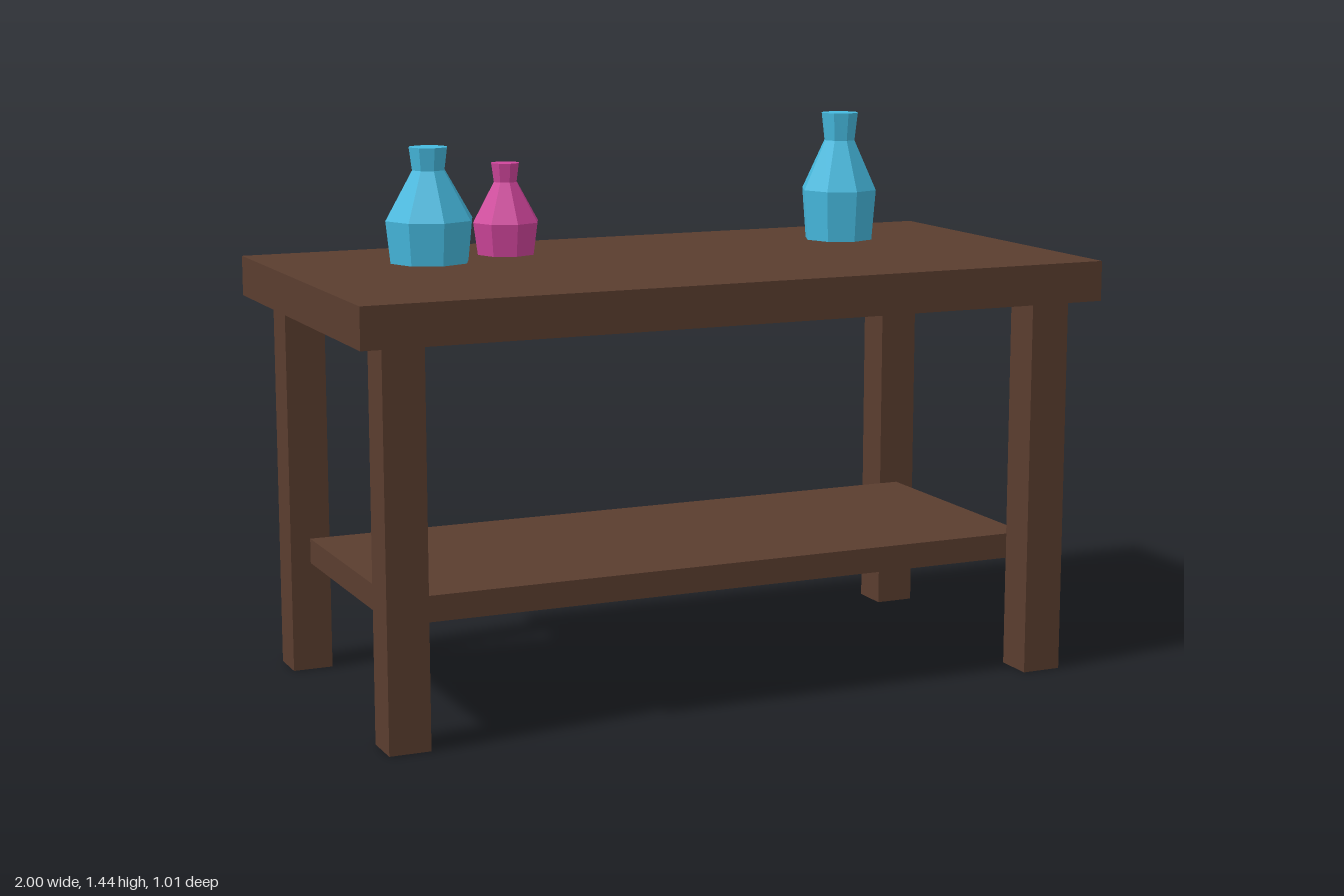
import * as THREE from 'three';

export function createModel() {
  const root = new THREE.Group();
  root.name = 'tableWithVases';

  const wood = new THREE.MeshStandardMaterial({ name: 'dark wood', color: 0x5a3d2f });
  const blue = new THREE.MeshStandardMaterial({ name: 'blue glaze', color: 0x46badf });
  const pink = new THREE.MeshStandardMaterial({ name: 'pink glaze', color: 0xd0469c });
  for (const m of [wood, blue, pink]) m.flatShading = true;

  const addBox = (name, w, h, d, x, y, z) => {
    const mesh = new THREE.Mesh(new THREE.BoxGeometry(w, h, d), wood);
    mesh.name = name;
    mesh.position.set(x, y, z);
    root.add(mesh);
  };

  // Table top and lower shelf
  const topY = 1.094;
  addBox('tableTop', 2, 0.104, 1.012, 0, topY - 0.052, 0);
  addBox('shelf', 1.76, 0.066, 0.7, 0, 0.322, 0);

  // Four square legs
  for (const sx of [-1, 1])
    for (const sz of [-1, 1])
      addBox(`${sz > 0 ? 'front' : 'back'}${sx > 0 ? 'Left' : 'Right'}Leg`,
        0.106, 0.99, 0.106, sx * 0.88, 0.495, sz * 0.402);

  // Eight-sided closed vases: base, shoulder, neck, rim
  const addVase = (name, material, x, z, base, shoulder, neck, rim) => {
    const profile = [[0, 0], [base, 0], shoulder, neck, rim, [0, rim[1]]]
      .map(([r, y]) => new THREE.Vector2(r, y));
    const mesh = new THREE.Mesh(new THREE.LatheGeometry(profile, 8), material);
    mesh.name = name;
    mesh.position.set(x, topY, z);
    root.add(mesh);
  };
  addVase('wideBlueVase', blue, -0.59, -0.19, 0.106, [0.118, 0.11], [0.044, 0.237], [0.052, 0.296]);
  addVase('smallPinkVase', pink, -0.35, -0.27, 0.079, [0.091, 0.085], [0.032, 0.19], [0.039, 0.24]);
  addVase('tallBlueVase', blue, 0.61, -0.214, 0.095, [0.106, 0.137], [0.043, 0.272], [0.052, 0.347]);

  return root;
}
